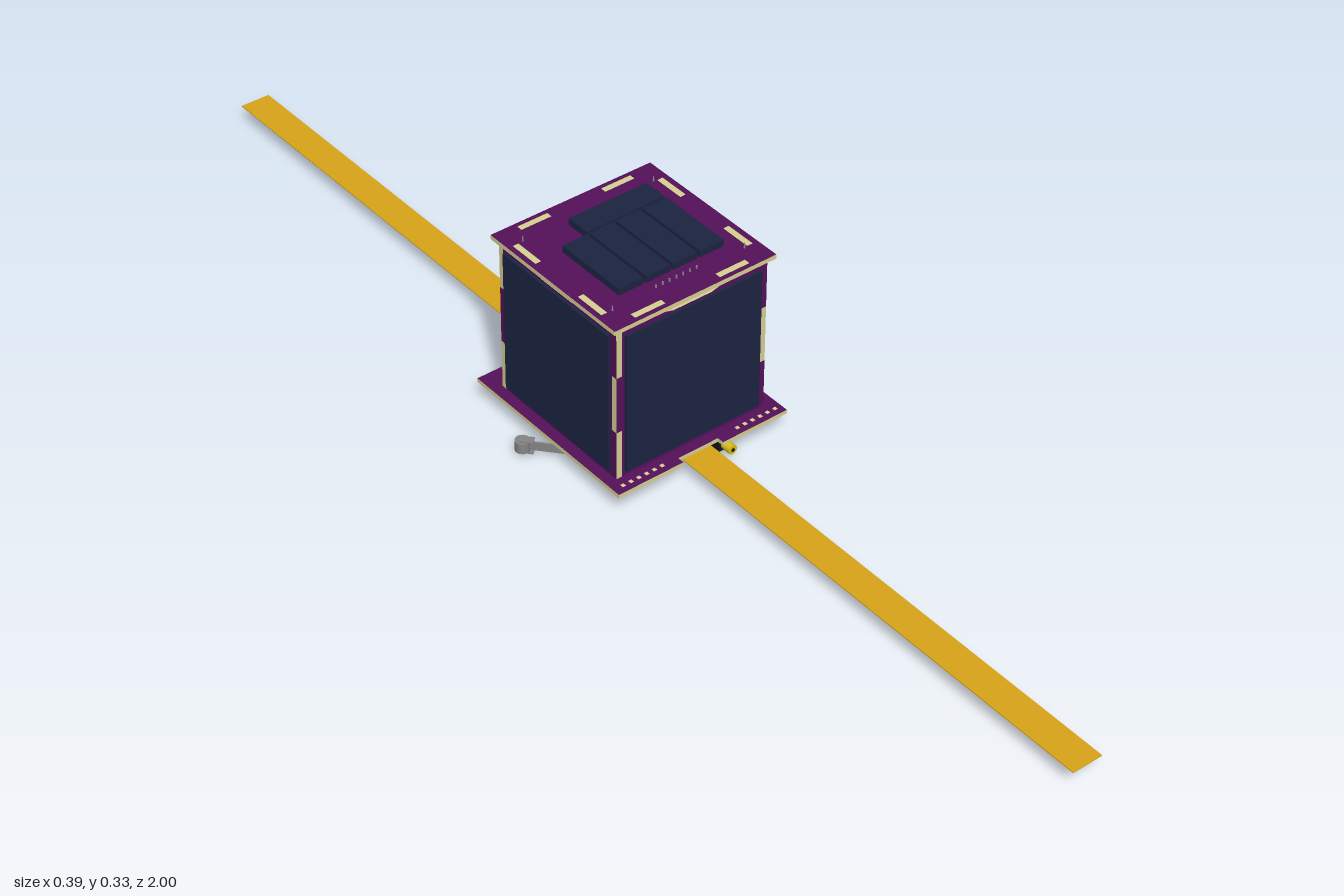
import * as THREE from 'three';

const mat = (color) => new THREE.MeshStandardMaterial({ color });
const PURPLE = mat(0x55105a), CREAM = mat(0xd8d294), CELL = mat(0x1c2442);
const GOLD = mat(0xd8a418), BLACK = mat(0x141414), GREY = mat(0x858585), YELLOW = mat(0xd9c010);

const H = 0.139;            // half width of the cube
const T = 0.01;             // side board thickness
const CX = -0.002, CZ = 0.016; // cube centre
const TABS = [[-0.105, -0.05], [0.05, 0.105]];

function add(parent, name, geometry, material, x = 0, y = 0, z = 0) {
  const m = new THREE.Mesh(geometry, material);
  m.name = name;
  m.position.set(x, y, z);
  parent.add(m);
  return m;
}

// Box given by its extents
function block(parent, name, material, x0, x1, y0, y1, z0, z1) {
  return add(parent, name, new THREE.BoxGeometry(x1 - x0, y1 - y0, z1 - z0), material,
    (x0 + x1) / 2, (y0 + y1) / 2, (z0 + z1) / 2);
}

const outline = (pts) => new THREE.Shape(pts.map(([x, y]) => new THREE.Vector2(x, y)));
const extrude = (shape, depth) => new THREE.ExtrudeGeometry(shape, { depth, bevelEnabled: false });

// Side board with interlocking edges, slot tabs and a notch at the top
function sideBoardShape() {
  const i = H - T, b = 0.041, t = 0.314, tb = 0.0335, tt = 0.3215;
  const pts = [[-i, b]];
  for (const [u0, u1] of TABS) pts.push([u0, b], [u0, tb], [u1, tb], [u1, b]);
  pts.push([H, b], [H, 0.127], [i, 0.127], [i, 0.227], [H, 0.227], [H, t]);
  pts.push([0.105, t], [0.105, tt], [0.05, tt], [0.05, 0.306], [0.035, 0.302],
    [-0.035, 0.302], [-0.05, 0.306], [-0.05, tt], [-0.105, tt], [-0.105, t]);
  pts.push([-i, t], [-i, 0.227], [-H, 0.227], [-H, 0.127], [-i, 0.127]);
  return outline(pts);
}

// Horizontal plate with slots for the side board tabs
function plate(parent, name, pts, y, thickness) {
  const shape = outline(pts.map(([x, z]) => [x, -z]));
  const m = H - T / 2, w = T / 2 + 0.0005;
  for (let k = 0; k < 4; k++) {
    const c = Math.round(Math.cos(k * Math.PI / 2)), s = Math.round(Math.sin(k * Math.PI / 2));
    for (const [u0, u1] of TABS) {
      const corners = [[u0, m - w], [u1, m - w], [u1, m + w], [u0, m + w]];
      shape.holes.push(new THREE.Path(corners.map(([u, v]) =>
        new THREE.Vector2(CX + u * c + v * s, -(CZ - u * s + v * c)))));
    }
  }
  const mesh = add(parent, name, extrude(shape, thickness), [PURPLE, CREAM], 0, y, 0);
  mesh.rotation.x = -Math.PI / 2;
  return mesh;
}

// Roller lever switch, built for the +x side
function rollerSwitch(name) {
  const g = new THREE.Group();
  g.name = name;
  block(g, 'switchBody', BLACK, 0.097, 0.132, 0, 0.034, -0.03, 0.05);
  const a = new THREE.Vector2(0.132, 0.042), b = new THREE.Vector2(0.182, -0.016);
  const lever = add(g, 'switchLever', new THREE.BoxGeometry(a.distanceTo(b), 0.015, 0.003), GREY,
    (a.x + b.x) / 2, 0.017, (a.y + b.y) / 2);
  lever.rotation.y = -Math.atan2(b.y - a.y, b.x - a.x);
  add(g, 'switchRoller', new THREE.CylinderGeometry(0.012, 0.012, 0.018, 20), GREY, 0.183, 0.016, -0.018);
  for (const y of [0.006, 0.026]) {
    const fork = add(g, 'rollerFork', new THREE.BoxGeometry(0.024, 0.002, 0.014), GREY, 0.179, y, -0.014);
    fork.rotation.y = lever.rotation.y;
  }
  return g;
}

export function createModel() {
  const model = new THREE.Group();
  model.name = 'cubeSatellite';

  // Four side boards, each with one solar cell
  const boardGeo = extrude(sideBoardShape(), T);
  ['front', 'left', 'back', 'right'].forEach((side, k) => {
    const g = new THREE.Group();
    g.name = side + 'Panel';
    g.position.set(CX, 0, CZ);
    g.rotation.y = k * Math.PI / 2;
    add(g, 'sideBoard', boardGeo, [PURPLE, CREAM], 0, 0, H - T);
    block(g, 'sideSolarCell', CELL, -0.124, 0.126, 0.05, 0.299, H, H + 0.005);
    model.add(g);
  });

  // Top plate
  plate(model, 'topPlate', [[-0.15, 0.163], [0.147, 0.163], [0.147, -0.131], [-0.15, -0.131]], 0.314, 0.0075);

  // Solar cells on the top plate
  for (let i = 0; i < 4; i++) {
    const x = -0.093 + i * 0.0495;
    block(model, 'topSolarCell', CELL, x, x + 0.0445, 0.3215, 0.333, -0.033, 0.1);
  }
  block(model, 'topSolarCell', CELL, -0.045, 0.1, 0.3215, 0.333, -0.081, -0.038);

  // Corner pins and connector pins of the top plate
  for (const x of [-0.122, 0.121]) for (const z of [-0.09, 0.122]) {
    add(model, 'cornerPin', new THREE.CylinderGeometry(0.0008, 0.0015, 0.01, 8), GREY, x, 0.3255, z);
  }
  for (let i = 0; i < 7; i++) {
    add(model, 'connectorPin', new THREE.CylinderGeometry(0.0015, 0.0015, 0.022, 8), GREY,
      -0.04 + i * 0.0125, 0.3155, 0.118);
  }

  // Bottom plate with antenna notches front and back
  plate(model, 'bottomPlate', [[-0.16, 0.185], [-0.04, 0.185], [-0.04, 0.173], [0.035, 0.173], [0.035, 0.185],
    [0.158, 0.185], [0.158, -0.161], [0.035, -0.161], [0.035, -0.15], [-0.04, -0.15], [-0.04, -0.161],
    [-0.16, -0.161]], 0.034, 0.007);

  // Solder pads along the front edge of the bottom plate
  for (const x0 of [-0.145, 0.07]) for (let i = 0; i < 6; i++) {
    const x = x0 + i * 0.0145;
    block(model, 'solderPad', CREAM, x, x + 0.006, 0.0335, 0.0417, 0.169, 0.175);
  }

  // Tape antenna: two long blades under the bottom plate
  block(model, 'frontAntenna', GOLD, -0.031, 0.022, 0.0322, 0.0338, 0.035, 1);
  block(model, 'backAntenna', GOLD, -0.031, 0.022, 0.0322, 0.0338, -1, -0.025);
  for (const z of [-0.06, -0.1, 0.07, 0.11]) {
    add(model, 'antennaScrew', new THREE.CylinderGeometry(0.004, 0.004, 0.003, 12), GREY, -0.005, 0.0312, z);
  }

  // Roller switches, mirrored
  model.add(rollerSwitch('leftSwitch'));
  const other = rollerSwitch('rightSwitch');
  other.scale.x = -1;
  model.add(other);

  // Coaxial connector under the front edge
  block(model, 'connectorBody', BLACK, 0.037, 0.062, 0.012, 0.034, 0.125, 0.172);
  const barrel = add(model, 'connectorBarrel', new THREE.CylinderGeometry(0.008, 0.008, 0.02, 20), YELLOW, 0.05, 0.022, 0.18);
  barrel.rotation.x = Math.PI / 2;
  const core = add(model, 'connectorCore', new THREE.CylinderGeometry(0.003, 0.003, 0.022, 12), BLACK, 0.05, 0.022, 0.18);
  core.rotation.x = Math.PI / 2;

  // Small components under the bottom plate
  const canGeo = new THREE.CylinderGeometry(0.006, 0.006, 0.016, 14);
  for (const x of [-0.08, -0.065, 0.07, 0.081, 0.092]) {
    const can = add(model, 'component', canGeo, BLACK, x, 0.028, -0.116);
    can.rotation.x = Math.PI / 2;
  }
  for (let i = 0; i < 5; i++) for (const x of [-0.075, 0.06]) {
    block(model, 'chip', BLACK, x, x + 0.012, 0.031, 0.034, -0.085 + i * 0.035, -0.073 + i * 0.035);
  }

  return model;
}
